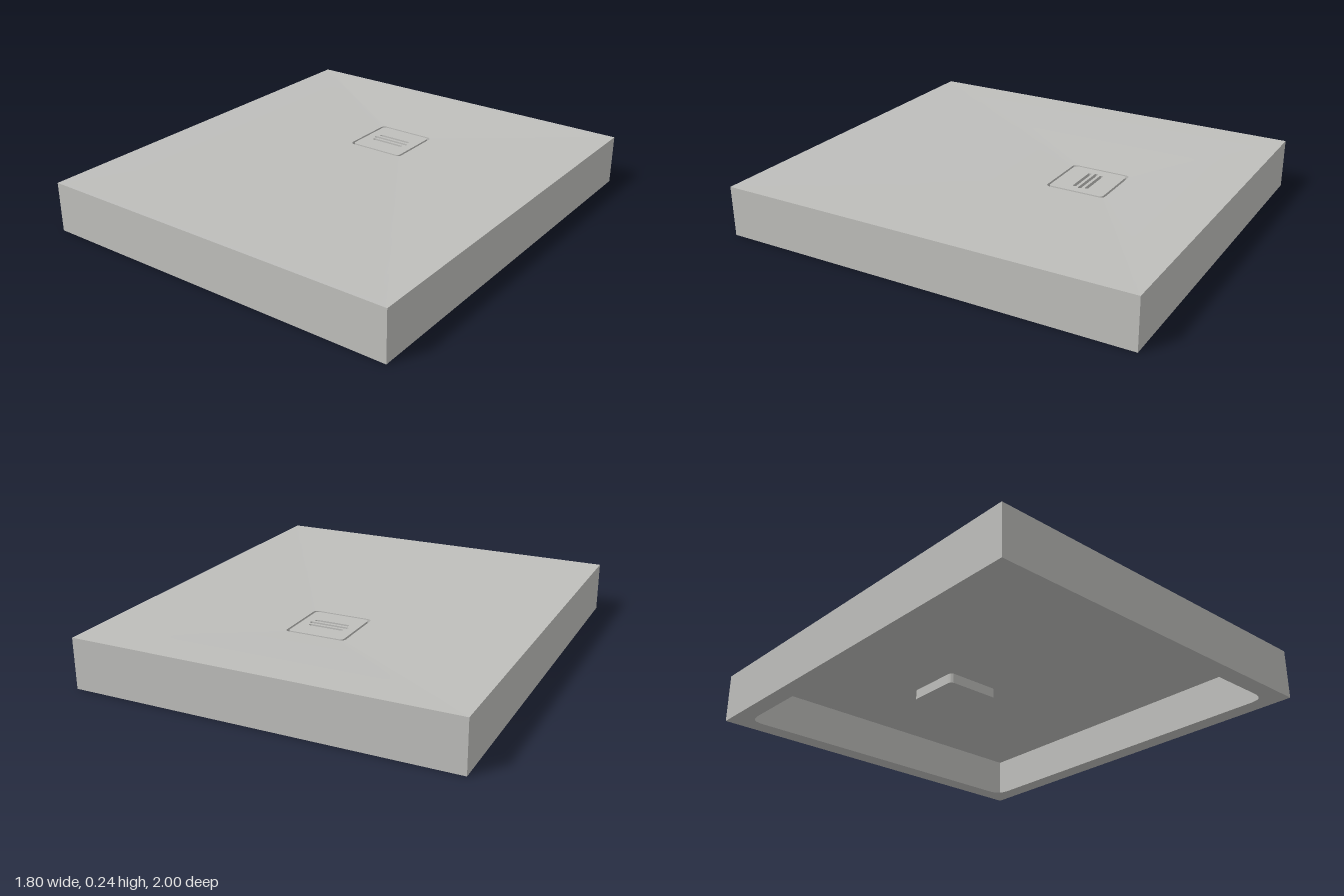
import * as THREE from 'three';
import { toCreasedNormals } from 'three/addons/utils/BufferGeometryUtils.js';

const W = 0.9, D = 1, H = 0.24;          // half width, half depth, height
const DRAIN_Z = -0.345, DRAIN = 0.145;   // drain centre and half size
const DRAIN_Y = 0.219, POCKET_Y = 0.17;

// Points of a rounded rectangle, matched one to one between rings
function ring(hx, hz, r, y, cz = 0) {
  const pts = [], n = 24;
  for (let side = 0; side < 4; side++) {
    for (let i = 0; i < n; i++) {
      const u = Math.sin((i / n - 0.5) * Math.PI);
      const [px, pz] = [[1, u], [-u, 1], [-1, -u], [u, -1]][side];
      let x = px * hx, z = pz * hz;
      if (r > 0) {
        const cx = THREE.MathUtils.clamp(x, r - hx, hx - r);
        const cc = THREE.MathUtils.clamp(z, r - hz, hz - r);
        const len = Math.hypot(x - cx, z - cc) || 1;
        x = cx + (x - cx) * r / len;
        z = cc + (z - cc) * r / len;
      }
      pts.push([x, y, z + cz]);
    }
  }
  return pts;
}

// Skin a series of rings
function loft(rings) {
  const n = rings[0].length, index = [];
  for (let i = 0; i < rings.length - 1; i++) {
    for (let j = 0; j < n; j++) {
      const k = (j + 1) % n;
      const a = i * n + j, b = i * n + k, c = a + n, d = b + n;
      index.push(a, c, b, b, c, d);
    }
  }
  const geo = new THREE.BufferGeometry();
  geo.setAttribute('position', new THREE.Float32BufferAttribute(rings.flat(2), 3));
  geo.setIndex(index);
  return toCreasedNormals(geo, 0.5);
}

// Rounded rectangle outline, used for the cover and its slots
function roundedRect(path, cx, cy, hx, hy, r) {
  path.absarc(cx + hx - r, cy + hy - r, r, 0, Math.PI / 2);
  path.absarc(cx - hx + r, cy + hy - r, r, Math.PI / 2, Math.PI);
  path.absarc(cx - hx + r, cy - hy + r, r, Math.PI, Math.PI * 1.5);
  path.absarc(cx + hx - r, cy - hy + r, r, Math.PI * 1.5, Math.PI * 2);
  path.closePath();
  return path;
}

export function createModel() {
  const group = new THREE.Group();
  group.name = 'showerTray';
  const grey = new THREE.MeshStandardMaterial({ color: 0xbebebb, side: THREE.DoubleSide });
  grey.name = 'stoneGrey';
  const add = (name, geo) => {
    const mesh = new THREE.Mesh(geo, grey);
    mesh.name = name;
    group.add(mesh);
    return mesh;
  };

  // Foot flange around the open underside, and the outer walls
  add('footFlange', loft([ring(W - 0.085, D - 0.085, 0.06, 0), ring(W, D, 0, 0)]));
  add('outerWalls', loft([ring(W, D, 0, 0), ring(W, D, 0, H)]));

  // Top surface falling gently towards the drain
  const outer = ring(W, D, 0, H);
  const inner = ring(DRAIN, DRAIN, 0.022, DRAIN_Y, DRAIN_Z);
  const steps = 10, top = [];
  for (let s = 0; s <= steps; s++) {
    const t = s / steps;
    top.push(outer.map((p, j) => [
      THREE.MathUtils.lerp(p[0], inner[j][0], t),
      H - (H - DRAIN_Y) * Math.pow(t, 1.2),
      THREE.MathUtils.lerp(p[2], inner[j][2], t),
    ]));
  }
  add('standingSurface', loft(top));

  // Drain pocket hanging below the surface
  add('drainPocket', loft([
    inner,
    ring(DRAIN, DRAIN, 0.022, POCKET_Y, DRAIN_Z),
    ring(0.001, 0.001, 0, POCKET_Y, DRAIN_Z),
  ]));

  // Slotted drain cover
  const shape = roundedRect(new THREE.Shape(), 0, 0, 0.134, 0.134, 0.016);
  [[0.03, 0.085], [0, 0.095], [-0.03, 0.085]].forEach(([y, half]) => {
    shape.holes.push(roundedRect(new THREE.Path(), 0, y, half, 0.008, 0.0079));
  });
  const coverGeo = new THREE.ExtrudeGeometry(shape, { depth: 0.02, bevelEnabled: false, curveSegments: 8 });
  coverGeo.rotateX(-Math.PI / 2);
  const cover = add('drainCover', coverGeo);
  cover.position.set(0, DRAIN_Y - 0.02, DRAIN_Z);

  return group;
}
